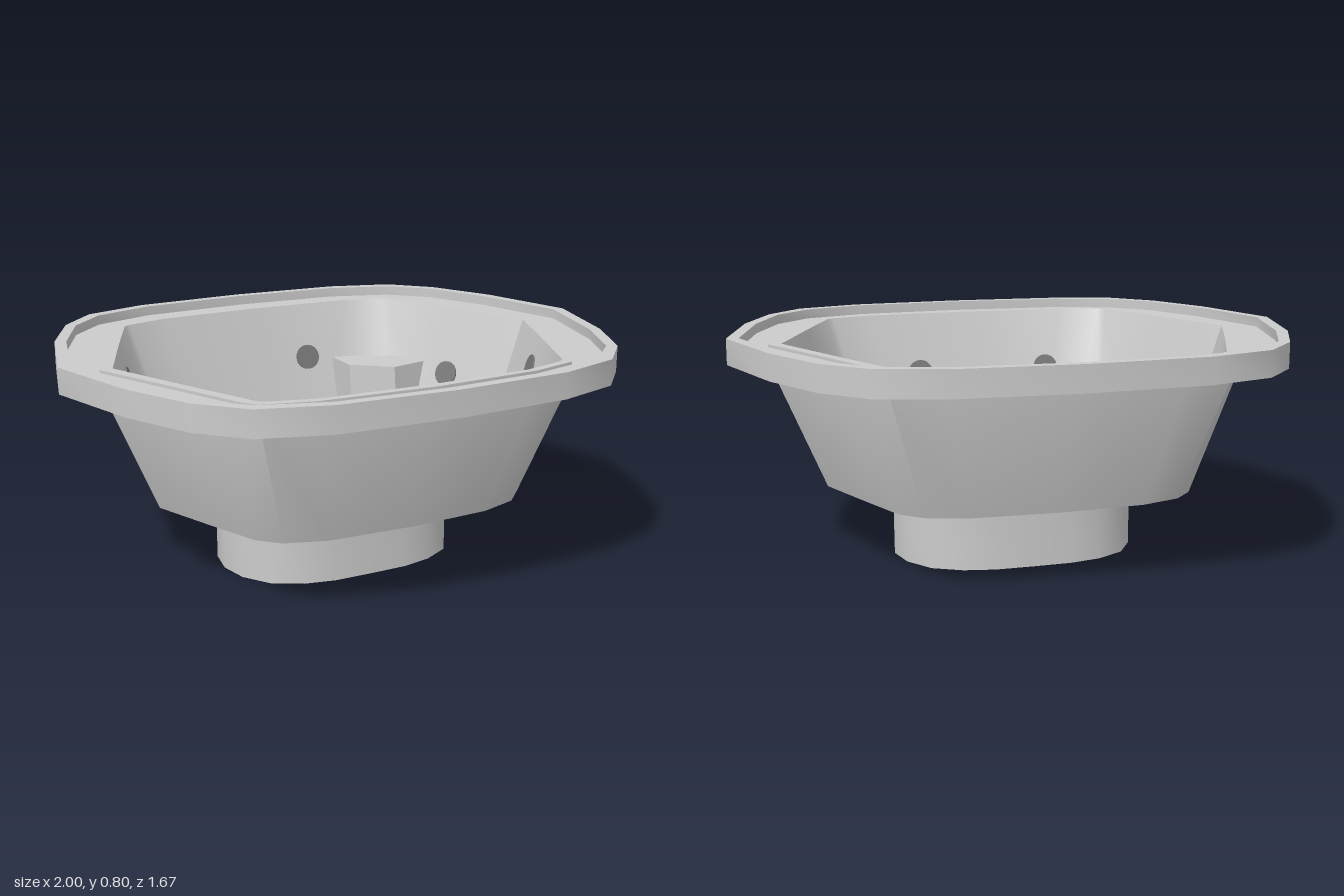
import * as THREE from 'three';
import { toCreasedNormals } from 'three/addons/utils/BufferGeometryUtils.js';

const grey = new THREE.MeshStandardMaterial({ color: 0xcccccc });
const dark = new THREE.MeshStandardMaterial({ color: 0x777777 });

// Mirrors a quarter outline (from +x to +z) into a full ring of [x, z] points
function outline(q) {
  const n = q.length;
  const back = q.slice(0, n - 1).reverse();
  return [
    ...q,
    ...back.map(([x, z]) => [-x, z]),
    ...q.slice(1).map(([x, z]) => [-x, -z]),
    ...back.slice(0, -1).map(([x, z]) => [x, -z]),
  ];
}

// Scales an outline about its centre; 0 makes the closing point of a cap
function scaled(pts, k) {
  const cx = pts.reduce((s, p) => s + p[0], 0) / pts.length;
  const cz = pts.reduce((s, p) => s + p[1], 0) / pts.length;
  return pts.map(([x, z]) => [cx + (x - cx) * k, cz + (z - cz) * k]);
}

// Skins a chain of [outline, y] rings
function loft(name, rings, crease = 0.6) {
  const pos = [];
  const n = rings[0][0].length;
  const at = (i, j) => {
    const [pts, y] = rings[i];
    return new THREE.Vector3(pts[j % n][0], y, pts[j % n][1]);
  };
  const tri = (a, b, c) => {
    const area = b.clone().sub(a).cross(c.clone().sub(a)).length();
    if (area > 1e-9) pos.push(...a, ...b, ...c);
  };
  for (let i = 0; i < rings.length - 1; i++) {
    for (let j = 0; j < n; j++) {
      tri(at(i, j), at(i + 1, j), at(i + 1, j + 1));
      tri(at(i, j), at(i + 1, j + 1), at(i, j + 1));
    }
  }
  const geo = new THREE.BufferGeometry();
  geo.setAttribute('position', new THREE.Float32BufferAttribute(pos, 3));
  const mesh = new THREE.Mesh(toCreasedNormals(geo, crease), grey);
  mesh.name = name;
  return mesh;
}

const rimOuter = outline([[1, 0], [0.9, 0.36], [0.785, 0.6], [0.65, 0.742], [0.415, 0.813], [0, 0.835]]);
const lipInner = outline([[0.957, 0], [0.862, 0.345], [0.755, 0.575], [0.625, 0.705], [0.4, 0.778], [0, 0.8]]);
const shellTop = outline([[0.86, 0], [0.725, 0.31], [0.61, 0.58], [0.575, 0.625], [0.4, 0.67], [0, 0.69]]);
const shellBottom = outline([[0.67, 0], [0.59, 0.22], [0.51, 0.43], [0.44, 0.5], [0.3, 0.545], [0, 0.56]]);
const basinTop = outline([[0.815, 0], [0.685, 0.31], [0.565, 0.585], [0.54, 0.603], [0.385, 0.645], [0, 0.66]]);
const basinFloor = outline([[0.65, 0], [0.57, 0.22], [0.49, 0.42], [0.425, 0.48], [0.285, 0.52], [0, 0.525]]);
const baseOuter = outline([[0.435, 0], [0.415, 0.11], [0.35, 0.21], [0.25, 0.265], [0.14, 0.288], [0, 0.29]]);
const wellTop = outline([[0.39, 0], [0.37, 0.11], [0.305, 0.2], [0.215, 0.25], [0.12, 0.268], [0, 0.27]]);

const FLOOR = 0.285, EDGE = 0.775, LEDGE = 0.765;

export function createModel() {
  const model = new THREE.Group();

  // Overhanging rim with a raised lip and a recessed ledge
  model.add(loft('rim', [
    [shellTop, 0.71], [rimOuter, 0.71], [rimOuter, 0.8],
    [lipInner, 0.8], [lipInner, LEDGE], [shellTop, LEDGE],
  ]));

  // Tapered basin: outer wall, top edge, inner wall and floor
  model.add(loft('basin', [
    [baseOuter, 0.265], [shellBottom, 0.265], [shellTop, 0.71], [shellTop, EDGE],
    [basinTop, EDGE], [basinFloor, FLOOR], [wellTop, FLOOR],
  ]));

  // Oval base under the basin
  model.add(loft('base', [
    [scaled(baseOuter, 0), 0], [baseOuter, 0], [baseOuter, 0.265],
  ]));

  // Foot well with a rounded bottom
  model.add(loft('footWell', [
    [wellTop, FLOOR], [scaled(wellTop, 0.95), 0.13], [scaled(wellTop, 0.9), 0.08],
    [scaled(wellTop, 0.8), 0.05], [scaled(wellTop, 0.6), 0.035], [scaled(wellTop, 0), 0.03],
  ], 1.0));

  // Corner seat
  const seatTop = [[0.61, -0.36], [0.445, -0.325], [0.305, -0.44], [0.305, -0.585], [0.405, -0.565], [0.525, -0.5]];
  const seatFoot = [[0.53, -0.33], [0.45, -0.305], [0.315, -0.42], [0.31, -0.52], [0.38, -0.5], [0.45, -0.455]];
  model.add(loft('cornerSeat', [[seatFoot, FLOOR], [seatTop, 0.56], [scaled(seatTop, 0), 0.56]], 0.3));

  // Round jets set into the inner walls
  const jets = new THREE.Group();
  jets.name = 'jets';
  const addJet = (x, y, z, nx, ny, nz) => {
    const jet = new THREE.Mesh(new THREE.CylinderGeometry(0.048, 0.048, 0.012, 20), dark);
    jet.name = 'jet';
    jet.position.set(x, y, z);
    jet.quaternion.setFromUnitVectors(new THREE.Vector3(0, 1, 0), new THREE.Vector3(nx, ny, nz).normalize());
    jets.add(jet);
  };
  const depth = (y) => (EDGE - y) / (EDGE - FLOOR);
  // Side walls: [side, y, z]
  for (const [s, y, z] of [[-1, 0.66, -0.25], [-1, 0.53, 0.255], [1, 0.66, 0.255], [1, 0.53, -0.245]]) {
    const x = THREE.MathUtils.lerp(0.708, 0.558, depth(y));
    addJet(s * x, y, z, -s * 0.92, 0.28, -Math.sign(z) * 0.38);
  }
  // Front and back walls: [x, y, end]
  for (const [x, y, e] of [[0.2, 0.57, -1], [-0.315, 0.55, 1], [-0.045, 0.4, 1], [0.2, 0.55, 1]]) {
    const z = THREE.MathUtils.lerp(0.652 - 0.02 * (Math.abs(x) > 0.3 ? 0.2 : 0), 0.522, depth(y));
    addJet(x, y, e * z, -Math.sign(x) * 0.04, 0.27, -e);
  }
  model.add(jets);

  return model;
}
